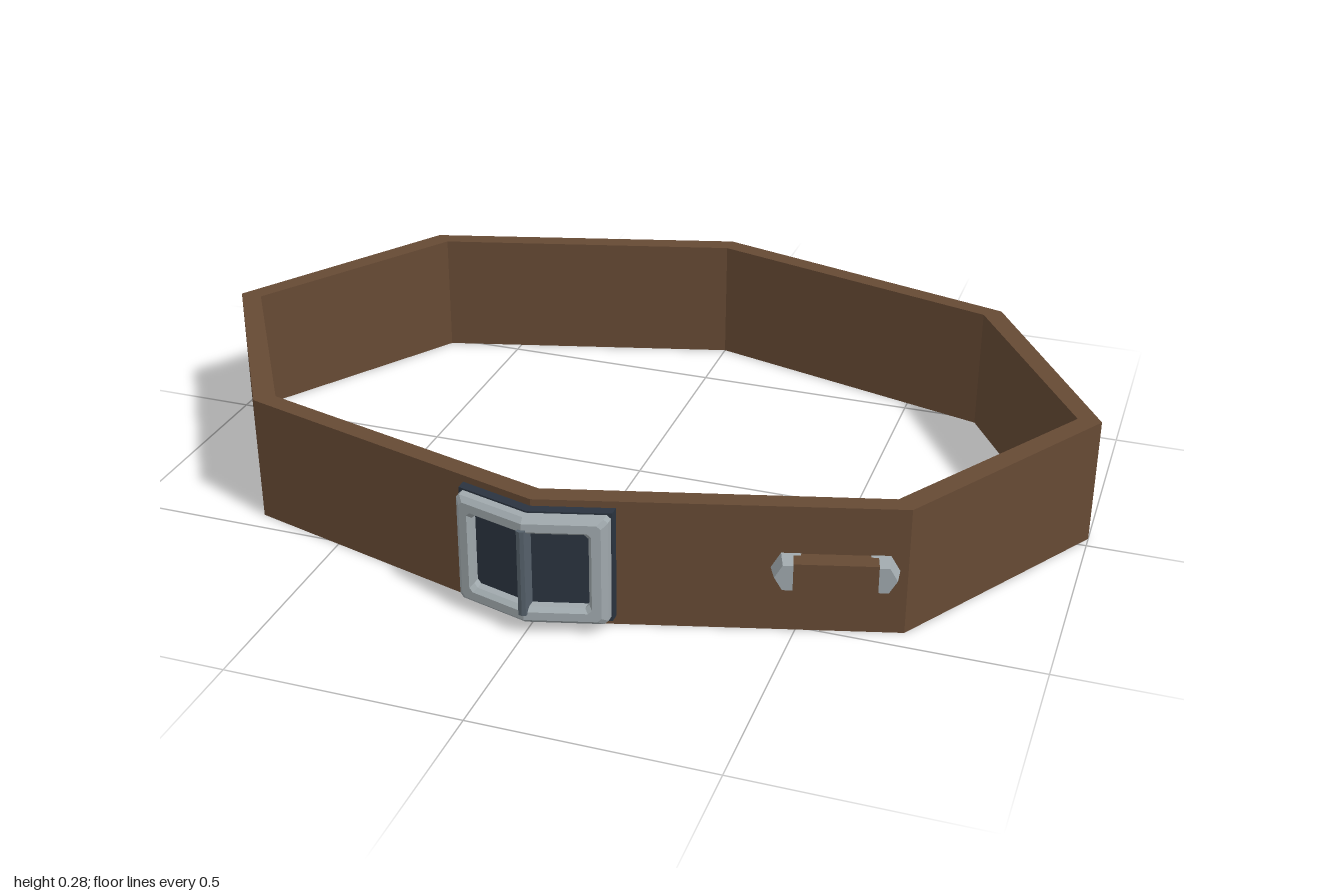
import * as THREE from 'three';

const SLOPE = 0.28; // how far the front of the strap falls back per unit of x
const mat = (color) => new THREE.MeshStandardMaterial({ color, flatShading: true });
const leather = mat(0x664a34), steel = mat(0xa0a9ad), darkSteel = mat(0x56616b), backing = mat(0x2a333f);

function add(parent, name, geometry, material) {
  const mesh = new THREE.Mesh(geometry, material);
  mesh.name = name;
  parent.add(mesh);
  return mesh;
}

// Fold a geometry along x = 0 so it follows the front corner of the strap
function fold(geometry) {
  const g = geometry.index ? geometry.toNonIndexed() : geometry;
  const p = g.attributes.position;
  for (let i = 0; i < p.count; i++) p.setZ(i, p.getZ(i) - SLOPE * Math.abs(p.getX(i)));
  g.computeVertexNormals();
  return g;
}

function foldedBox(w, h, back, front) {
  return fold(new THREE.BoxGeometry(w, h, front - back, 2).translate(0, 0, (front + back) / 2));
}

function octagon(rx, rz) {
  return Array.from({ length: 8 }, (_, i) => {
    const a = i * Math.PI / 4;
    return new THREE.Vector2(rx * Math.cos(a), rz * Math.sin(a));
  });
}

// Rectangular frame with clipped corners, swept from a profile of [inset, z]
function frameGeometry(hw, hh, cut, profile) {
  const loops = profile.map(([inset, z]) => {
    const w = hw - inset, h = hh - inset, c = cut;
    return [[w, h - c], [w - c, h], [0, h], [c - w, h], [-w, h - c],
      [-w, c - h], [c - w, -h], [0, -h], [w - c, -h], [w, c - h]].map(([x, y]) => [x, y, z]);
  });
  const pos = [];
  for (let i = 0; i < loops.length; i++) {
    const A = loops[i], B = loops[(i + 1) % loops.length];
    for (let j = 0; j < A.length; j++) {
      const k = (j + 1) % A.length;
      pos.push(...A[j], ...A[k], ...B[k], ...A[j], ...B[k], ...B[j]);
    }
  }
  const g = new THREE.BufferGeometry();
  g.setAttribute('position', new THREE.Float32BufferAttribute(pos, 3));
  return fold(g);
}

export function createModel() {
  const model = new THREE.Group();
  model.name = 'belt';

  // Eight-sided leather strap
  const outline = new THREE.Shape(octagon(1, 0.68));
  outline.holes.push(new THREE.Path(octagon(0.95, 0.635)));
  const strap = new THREE.ExtrudeGeometry(outline, { depth: 0.28, bevelEnabled: false });
  strap.rotateX(-Math.PI / 2).translate(0, 0, -0.03);
  add(model, 'strap', strap, leather);

  // Buckle folded round the front corner
  const buckle = new THREE.Group();
  buckle.name = 'buckle';
  buckle.position.y = 0.143;
  model.add(buckle);
  add(buckle, 'buckleBacking', foldedBox(0.32, 0.245, 0.64, 0.672), backing);
  add(buckle, 'buckleFrame', frameGeometry(0.158, 0.119, 0.008,
    [[0, 0.67], [0, 0.69], [0.01, 0.7], [0.028, 0.7], [0.036, 0.69], [0.036, 0.67]]), steel);
  add(buckle, 'buckleProng', foldedBox(0.016, 0.19, 0.665, 0.708), darkSteel);

  // Small strap keeper on the left front panel
  const keeper = new THREE.Group();
  keeper.name = 'keeper';
  keeper.position.set(0.57, 0.143, 0.487);
  keeper.rotation.y = Math.atan(SLOPE);
  model.add(keeper);
  add(keeper, 'keeperBand', new THREE.BoxGeometry(0.165, 0.065, 0.047).translate(0, 0, 0.0195), leather);
  for (const side of [-1, 1]) {
    const stud = new THREE.CylinderGeometry(0.032, 0.04, 0.046, 6);
    stud.rotateY(Math.PI / 2).rotateX(Math.PI / 2).translate(side * 0.087, 0, 0.018);
    add(keeper, side < 0 ? 'keeperStudRight' : 'keeperStudLeft', stud, steel);
  }
  return model;
}
